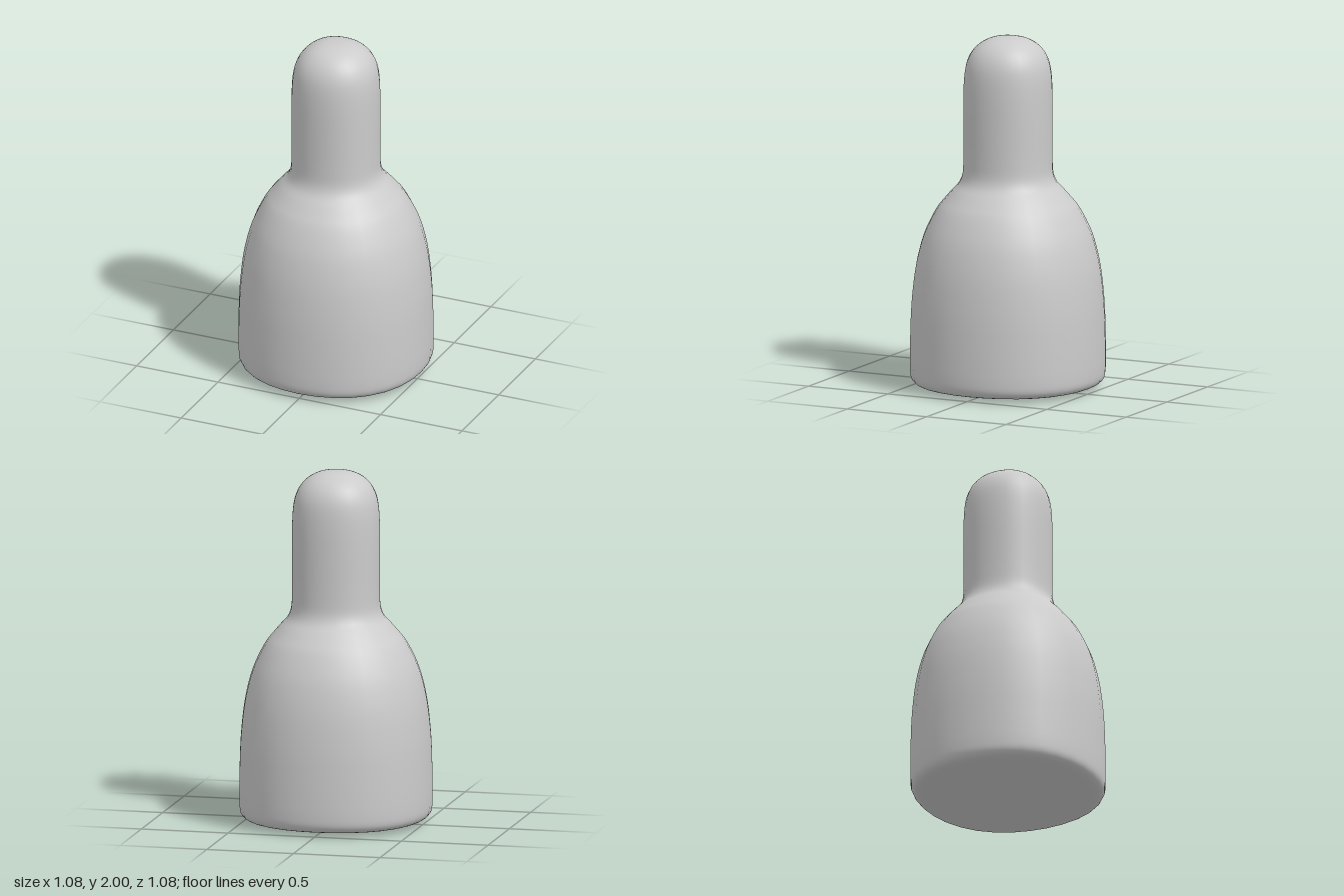
import * as THREE from 'three';
import { mergeVertices } from 'three/addons/utils/BufferGeometryUtils.js';

// half-profile [radius, height], from underside centre to the tip
const PROFILE = [
  [0, 0], [0.25, 0.006], [0.4, 0.013], [0.48, 0.022], [0.515, 0.036], [0.533, 0.062], [0.539, 0.11],
  [0.54, 0.2], [0.538, 0.32], [0.534, 0.44], [0.527, 0.54], [0.513, 0.664], [0.495, 0.76],
  [0.466, 0.865], [0.43, 0.95], [0.386, 1.03], [0.35, 1.075], [0.31, 1.122], [0.27, 1.167],
  [0.251, 1.215], [0.246, 1.29], [0.246, 1.5], [0.245, 1.7], [0.238, 1.8], [0.225, 1.86],
  [0.2, 1.912], [0.16, 1.955], [0.11, 1.983], [0.06, 1.996], [0, 2],
];

export function createModel() {
  const group = new THREE.Group();
  const curve = new THREE.CatmullRomCurve3(PROFILE.map(([r, y]) => new THREE.Vector3(r, y, 0)));
  const points = curve.getPoints(87).map((p) => new THREE.Vector2(Math.max(p.x, 0), p.y));
  points[0].x = points[points.length - 1].x = 0;

  // round body, very slightly squared off in plan
  let geometry = new THREE.LatheGeometry(points, 32);
  const pos = geometry.attributes.position;
  for (let i = 0; i < pos.count; i++) {
    const x = pos.getX(i), z = pos.getZ(i);
    const k = 1 + 0.0142 * (1 - Math.cos(4 * Math.atan2(z, x)));
    pos.setXYZ(i, x * k, pos.getY(i), z * k);
  }

  // weld the seam and poles so shading is continuous
  geometry.deleteAttribute('uv');
  geometry.deleteAttribute('normal');
  geometry = mergeVertices(geometry, 1e-5);
  geometry.computeVertexNormals();

  const body = new THREE.Mesh(geometry, new THREE.MeshStandardMaterial({ color: 0xcccccc }));
  body.name = 'bottleBody';
  group.add(body);
  return group;
}
